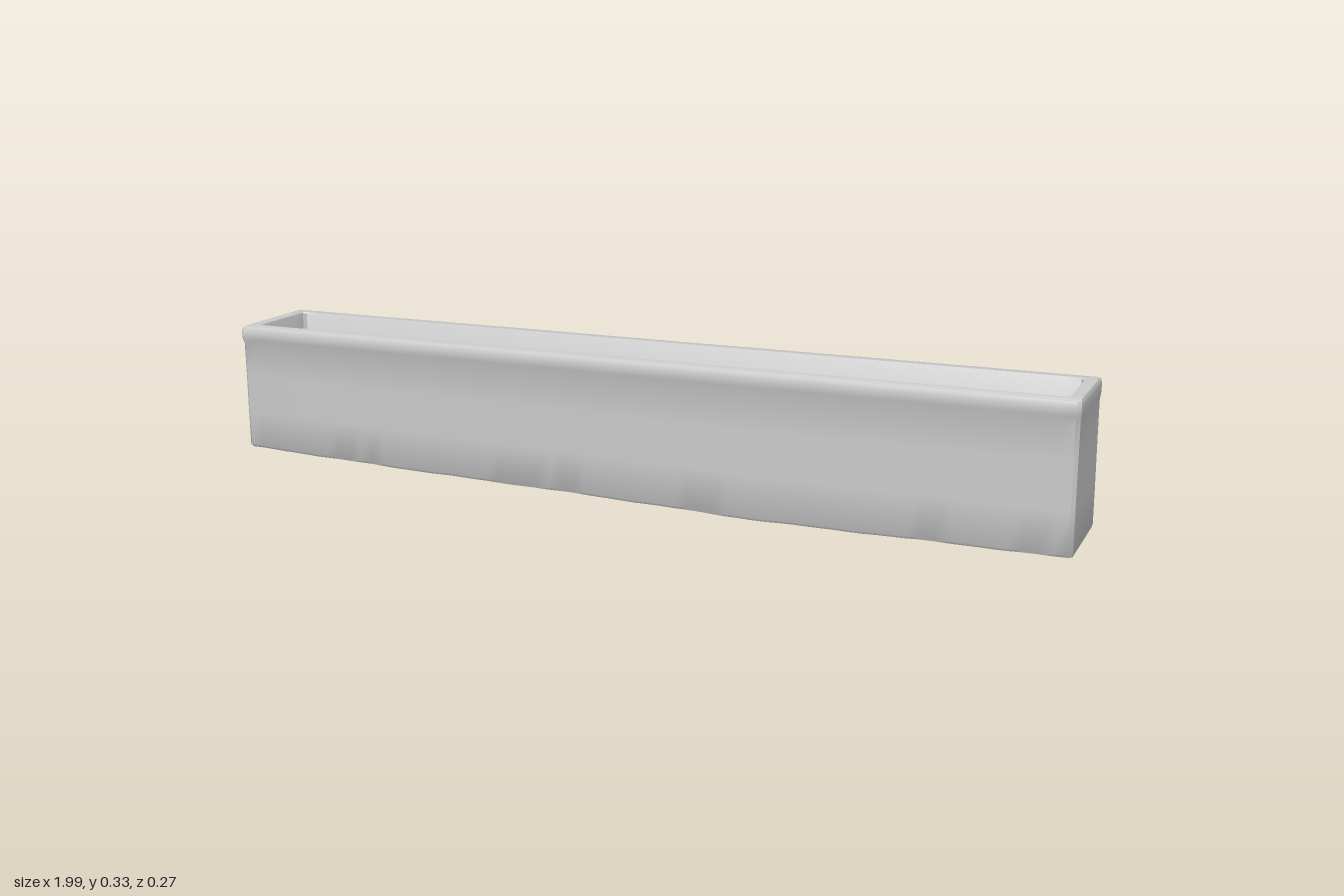
import * as THREE from 'three';
import { toCreasedNormals } from 'three/addons/utils/BufferGeometryUtils.js';

const { lerp, clamp } = THREE.MathUtils;

// Slight unevenness of the hand-worked surface
const wobble = (x, k) => Math.sin(x * 7 + k) * 0.5 + Math.sin(x * 23 + k * 2.3) * 0.3 + Math.sin(x * 61 + k * 5) * 0.2;

// The underside rises toward the right-hand end (-x)
const baseY = (x) => lerp(0.039, 0.009, clamp((x + 1) / 1.3, 0, 1));

// Loop of unit positions (u along the length, v across), with bevelled corners
function unitLoop(nx, nz) {
  const pts = [], eu = 0.992, ev = 0.94;
  for (let i = 0; i <= nx; i++) pts.push([lerp(-eu, eu, i / nx), 1]);
  for (let i = 0; i <= nz; i++) pts.push([1, lerp(ev, -ev, i / nz)]);
  for (let i = 0; i <= nx; i++) pts.push([lerp(eu, -eu, i / nx), -1]);
  for (let i = 0; i <= nz; i++) pts.push([-1, lerp(-ev, ev, i / nz)]);
  return pts;
}

// Outer wall: t is the height from underside to rim, grow pushes it outward
function outer(t, grow, spread = 1) {
  return ([u, v]) => {
    const x = lerp(-0.998 - grow * 0.3, 0.987 + grow * 0.3, (u + 1) / 2);
    const side = (1 - u) / 2;
    const front = 0.117 + side * lerp(0.003, 0.01, t);
    const back = lerp(0.133, 0.123, t);
    const rough = wobble(x, v > 0 ? 1 : 4) * 0.0015;
    const z = v * ((v > 0 ? front : back) + grow + rough) * spread;
    const y = lerp(baseY(x), 0.338, t) + (1 - t) * wobble(x, 2) * 0.002;
    return [x, y, z];
  };
}

// Inner wall of the straight-sided hollow
function inner(y, grow, spread = 1) {
  return ([u, v]) => [
    lerp(-0.968 - grow, 0.958 + grow, (u + 1) / 2), y,
    v * ((v > 0 ? 0.09 : 0.094) + grow) * spread,
  ];
}

// Skin the rows of loops, bottom centre -> outside -> rim -> hollow floor centre
function skin(rows, loop) {
  const pos = [], index = [], n = loop.length;
  rows.forEach((row) => loop.forEach((p) => pos.push(...row(p))));
  for (let r = 0; r < rows.length - 1; r++) {
    for (let i = 0; i < n; i++) {
      const j = (i + 1) % n;
      const a = r * n + i, b = r * n + j, c = b + n, d = a + n;
      index.push(a, b, c, a, c, d);
    }
  }
  const geo = new THREE.BufferGeometry();
  geo.setAttribute('position', new THREE.Float32BufferAttribute(pos, 3));
  geo.setIndex(index);
  return toCreasedNormals(geo, 0.6);
}

export function createModel() {
  const rows = [
    // underside and outer walls
    outer(0, 0, 0),
    outer(0, -0.004),
    outer(0.02, 0),
    outer(0.3, 0),
    outer(0.6, -0.001),
    outer(0.86, -0.001),
    // slightly swollen rim
    outer(0.9, 0.004),
    outer(0.96, 0.005),
    outer(0.99, 0.001),
    outer(1, -0.005),
    // hollow
    inner(0.338, 0.002),
    inner(0.335, 0),
    inner(0.055, 0),
    inner(0.055, 0, 0),
  ];
  const trough = new THREE.Mesh(
    skin(rows, unitLoop(64, 6)),
    new THREE.MeshStandardMaterial({ color: 0xcccccc }),
  );
  trough.name = 'trough';

  const group = new THREE.Group();
  group.name = 'longTrough';
  group.add(trough);
  return group;
}
